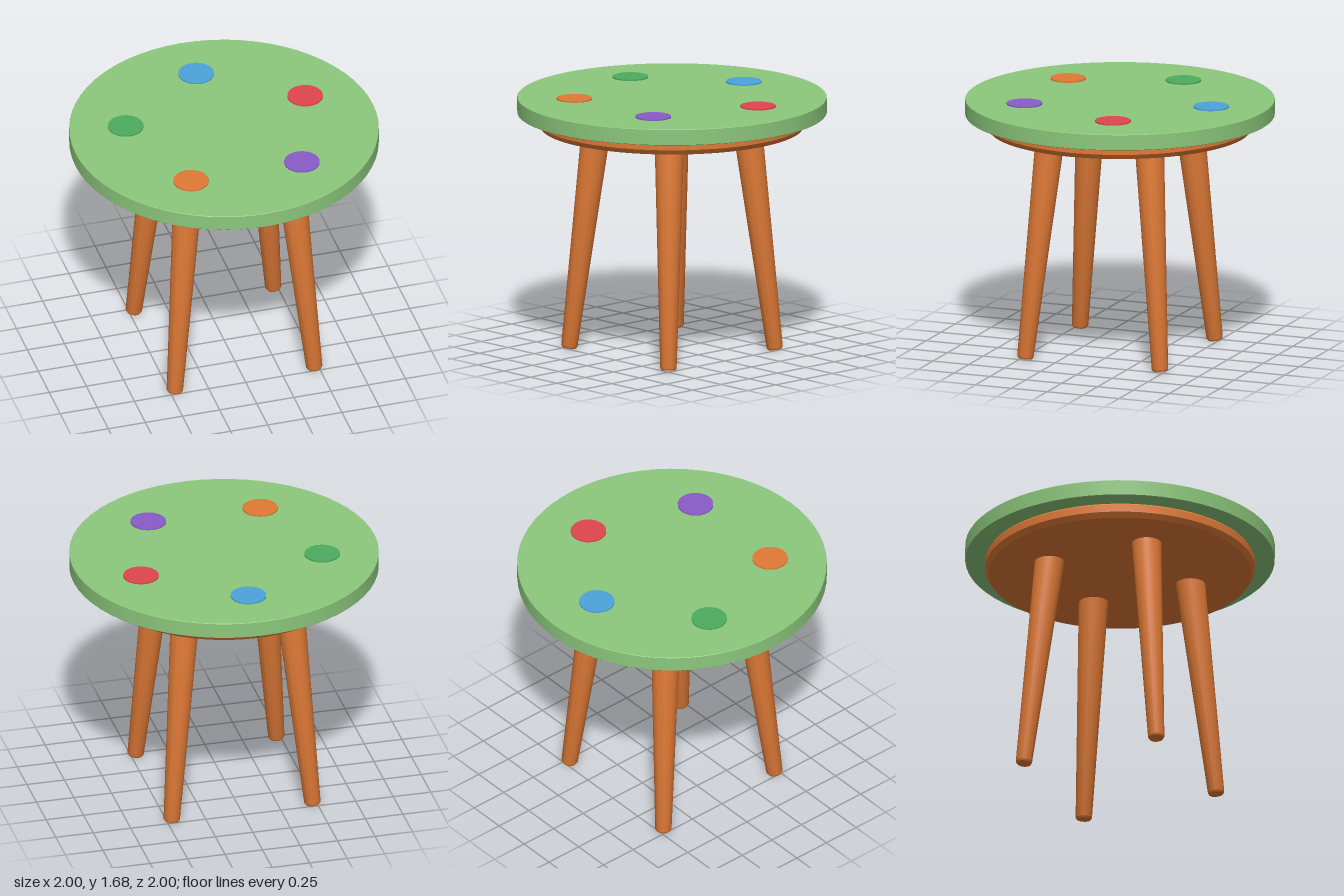
import * as THREE from 'three';
import { toCreasedNormals } from 'three/addons/utils/BufferGeometryUtils.js';

const mat = (name, color) => {
  const m = new THREE.MeshStandardMaterial({ color });
  m.name = name;
  return m;
};

// Solid of revolution with crisp edges; profile runs from bottom to top
const turned = (profile, segments) =>
  toCreasedNormals(
    new THREE.LatheGeometry(profile.map(([r, y]) => new THREE.Vector2(r, y)), segments),
    0.5
  );

export function createModel() {
  const table = new THREE.Group();
  table.name = 'roundTable';
  const leafGreen = mat('leaf green', 0x8cc87c);
  const orange = mat('orange wood', 0xe07a36);
  const add = (name, geometry, material) => {
    const mesh = new THREE.Mesh(geometry, material);
    mesh.name = name;
    table.add(mesh);
    return mesh;
  };

  // Table top
  add('tableTop', turned([[0, 1.565], [0.997, 1.565], [1, 1.568], [1, 1.667], [0.997, 1.67], [0, 1.67]], 64), leafGreen);

  // Support disc with a chamfered lower edge
  add('supportDisc', turned([[0, 1.472], [0.848, 1.472], [0.872, 1.505], [0.872, 1.555], [0.865, 1.565], [0, 1.565]], 64), orange);

  // Four splayed, tapered legs
  const up = new THREE.Vector3(0, 1, 0);
  for (const sx of [1, -1]) {
    for (const sz of [1, -1]) {
      const foot = new THREE.Vector3(sx * 0.47, 0.007, sz * 0.47);
      const head = new THREE.Vector3(sx * 0.342, 1.5, sz * 0.342);
      const axis = head.clone().sub(foot);
      const length = axis.length();
      const leg = add(
        `${sz > 0 ? 'front' : 'back'}${sx > 0 ? 'Left' : 'Right'}Leg`,
        turned([[0, 0], [0.046, 0], [0.053, 0.012], [0.096, length], [0, length]], 32),
        orange
      );
      leg.position.copy(foot);
      leg.quaternion.setFromUnitVectors(up, axis.normalize());
    }
  }

  // Five coloured dots spaced evenly around the top, starting at the back
  const dots = [
    ['blueDot', mat('blue', 0x4ba3dc)],
    ['redDot', mat('red', 0xe0454f)],
    ['purpleDot', mat('purple', 0x8a5cc8)],
    ['orangeDot', orange],
    ['greenDot', mat('green', 0x4cab60)],
  ];
  dots.forEach(([name, material], i) => {
    const a = (i * Math.PI * 2) / 5;
    const dot = add(name, new THREE.CylinderGeometry(0.115, 0.115, 0.009, 32), material);
    dot.position.set(Math.sin(a) * 0.635, 1.6745, -Math.cos(a) * 0.635);
  });

  return table;
}
